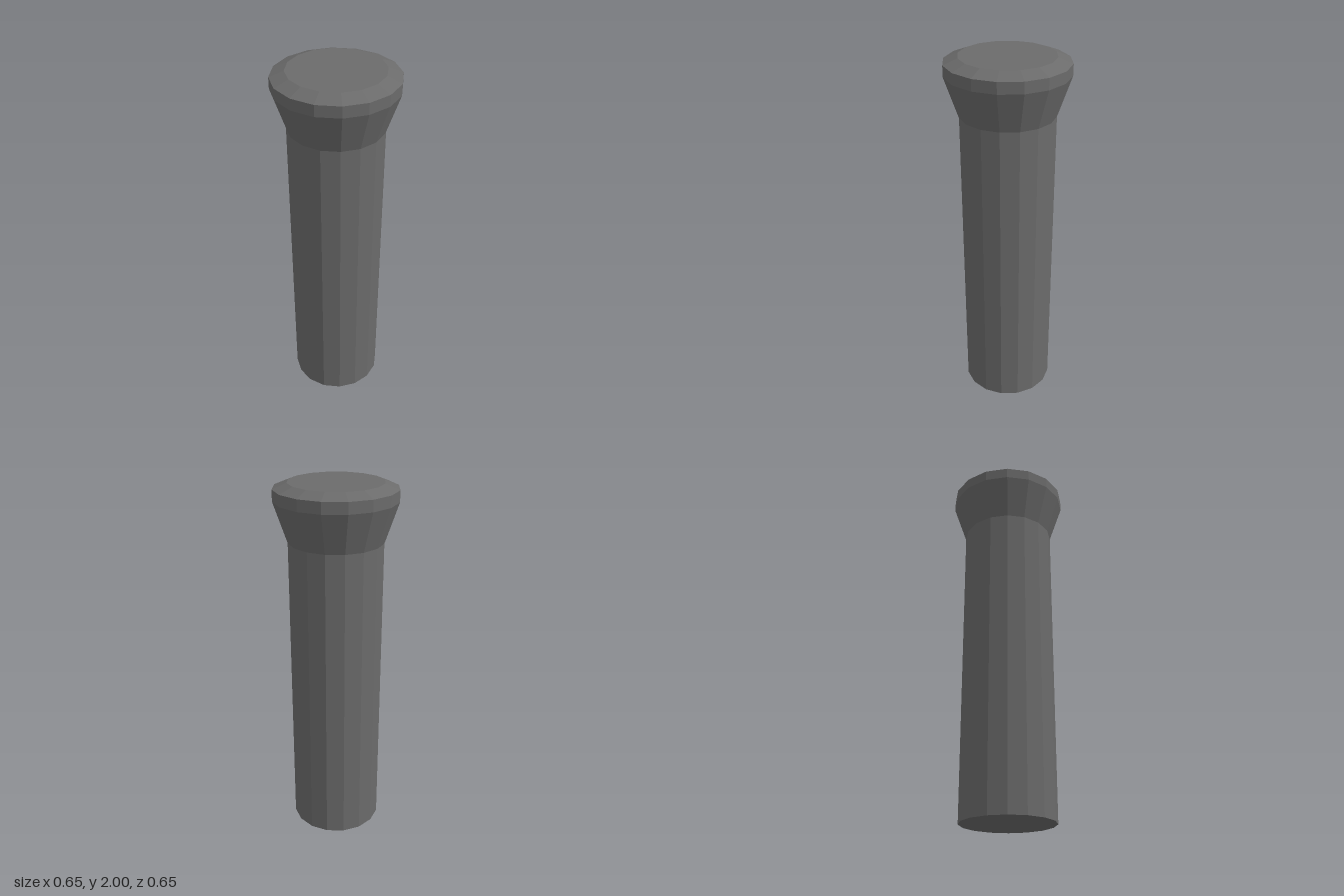
import * as THREE from 'three';

const SIDES = 16;
const SHAFT_RADIUS = 0.253;
const SHAFT_TOP = 1.695;

// Faceted solid of revolution from [radius, height] pairs, listed bottom to top
function turned(name, profile, material) {
  const points = profile.map(([r, y]) => new THREE.Vector2(r, y));
  const mesh = new THREE.Mesh(new THREE.LatheGeometry(points, SIDES), material);
  mesh.name = name;
  return mesh;
}

export function createModel() {
  const group = new THREE.Group();
  group.name = 'flaredPost';
  const material = new THREE.MeshStandardMaterial({ color: 0x6b6b6b, flatShading: true });

  // Straight shaft, closed underneath
  group.add(turned('shaft', [[0, 0], [SHAFT_RADIUS, 0], [SHAFT_RADIUS, SHAFT_TOP]], material));

  // Flared head: cone, short rim, bevel and flat top
  group.add(turned('head', [
    [SHAFT_RADIUS, SHAFT_TOP], [0.325, 1.91], [0.325, 1.97], [0.25, 2], [0, 2],
  ], material));

  return group;
}
